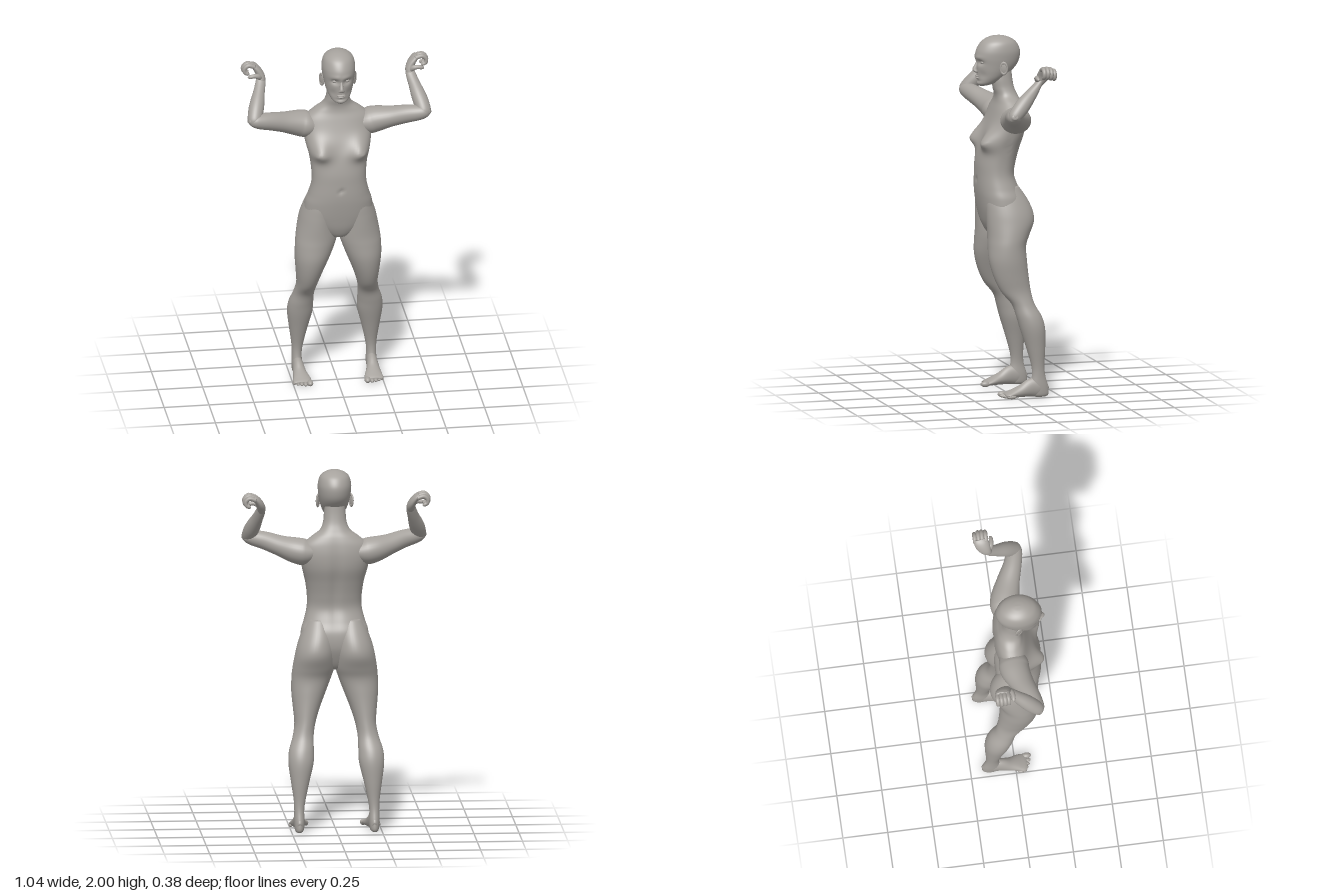
import * as THREE from 'three';

const skin = new THREE.MeshStandardMaterial({ color: 0xa6a29d });
skin.name = 'warm grey';

const bell = (d, s) => Math.exp(-(d * d) / (s * s));

// Uniform Catmull-Rom through rows of numbers
function sample(rows, f) {
  const n = rows.length - 1;
  const i = Math.min(Math.floor(f), n - 1), t = f - i;
  const [a, b, c, d] = [i - 1, i, i + 1, i + 2].map(k => rows[Math.max(0, Math.min(n, k))]);
  return b.map((_, k) => 0.5 * (2 * b[k] + (c[k] - a[k]) * t
    + (2 * a[k] - 5 * b[k] + 4 * c[k] - d[k]) * t * t
    + (3 * b[k] - a[k] - 3 * c[k] + d[k]) * t * t * t));
}

// Smooth skin over cross-sections [x, y, z, radiusU, radiusV]; U follows the ref axis
function loft(rows, { ref = [1, 0, 0], level = false, sides = 32, steps = 5, power = 1, rule = null } = {}) {
  const total = (rows.length - 1) * steps;
  const pos = [], idx = [];
  const at = f => new THREE.Vector3(...sample(rows, f));
  const bend = v => Math.sign(v) * Math.abs(v) ** power;
  for (let i = 0; i <= total; i++) {
    const f = i / steps, s = sample(rows, f);
    const t = at(Math.min(f + 0.05, rows.length - 1)).sub(at(Math.max(f - 0.05, 0)));
    if (level) t.set(0, Math.sign(t.y), 0);
    t.normalize();
    const u = new THREE.Vector3(...ref);
    u.addScaledVector(t, -u.dot(t)).normalize();
    const v = u.clone().cross(t);
    for (let j = 0; j < sides; j++) {
      const a = (j / sides) * Math.PI * 2;
      const p = new THREE.Vector3(s[0], s[1], s[2])
        .addScaledVector(u, Math.max(s[3], 0.001) * bend(Math.cos(a)))
        .addScaledVector(v, Math.max(s[4], 0.001) * bend(Math.sin(a)));
      if (rule) rule(p);
      pos.push(p.x, p.y, p.z);
      if (i < total) {
        const k = (j + 1) % sides, A = i * sides + j, B = i * sides + k;
        idx.push(A, A + sides, B, B, A + sides, B + sides);
      }
    }
  }
  // End caps
  const last = total * sides, c = pos.length / 3;
  const p0 = sample(rows, 0), p1 = sample(rows, rows.length - 1);
  pos.push(p0[0], p0[1], p0[2], p1[0], p1[1], p1[2]);
  for (let j = 0; j < sides; j++) {
    const k = (j + 1) % sides;
    idx.push(c, j, k, c + 1, last + k, last + j);
  }
  const g = new THREE.BufferGeometry();
  g.setAttribute('position', new THREE.Float32BufferAttribute(pos, 3));
  g.setIndex(idx);
  g.computeVertexNormals();
  return g;
}

// Level slices: [x0, x1, y, zBack, zFront] to a loft row
const slice = ([x0, x1, y, zb, zf]) => [(x0 + x1) / 2, y, (zb + zf) / 2, (x1 - x0) / 2, (zf - zb) / 2];
const centred = ([w, y, zb, zf]) => slice([-w, w, y, zb, zf]);

function blob(x, y, z, rx, ry, rz) {
  return new THREE.SphereGeometry(1, 24, 16).scale(rx, ry, rz).translate(x, y, z);
}

function mirrored(geometry) {
  const g = geometry.clone().scale(-1, 1, 1);
  const a = g.index.array;
  for (let i = 0; i < a.length; i += 3) [a[i], a[i + 1]] = [a[i + 1], a[i]];
  g.computeVertexNormals();
  return g;
}

export function createModel() {
  const model = new THREE.Group();
  model.name = 'standingFigure';
  const add = (name, g) => {
    const m = new THREE.Mesh(g, skin);
    m.name = name;
    model.add(m);
  };
  const pair = (name, g) => {
    add('left' + name, g);
    add('right' + name, mirrored(g));
  };

  // Torso and neck, with chest, spine groove and navel shaped by a rule
  add('torso', loft([
    [0.01, 0.885, 0.0, 0.05], [0.06, 0.9, -0.03, 0.1], [0.13, 0.95, -0.06, 0.13],
    [0.185, 1.02, -0.085, 0.148], [0.186, 1.1, -0.085, 0.162], [0.168, 1.16, -0.06, 0.168],
    [0.152, 1.23, -0.037, 0.168], [0.152, 1.3, -0.046, 0.165], [0.163, 1.38, -0.066, 0.15],
    [0.182, 1.46, -0.09, 0.125], [0.192, 1.53, -0.096, 0.098], [0.18, 1.59, -0.09, 0.077],
    [0.132, 1.635, -0.078, 0.062], [0.085, 1.67, -0.062, 0.06], [0.066, 1.71, -0.046, 0.07],
    [0.06, 1.76, -0.036, 0.075], [0.055, 1.82, -0.03, 0.06],
  ].map(centred), {
    level: true, sides: 72, steps: 7, power: 0.88,
    rule: p => {
      const ax = Math.abs(p.x);
      if (p.z > 0.02) {
        p.z += 0.052 * bell(ax - 0.115, 0.058) * bell(p.y - 1.415, p.y < 1.415 ? 0.042 : 0.068);
        p.z += 0.008 * bell(ax - 0.13, 0.012) * bell(p.y - 1.412, 0.012);
        p.z -= 0.01 * bell(p.x, 0.011) * bell(p.y - 1.2, 0.014);
      } else {
        p.z += 0.012 * bell(p.x, 0.028) * bell(p.y - 1.36, 0.2);
      }
    },
  }));

  // Legs from hip to heel
  pair('Leg', loft([
    [0.03, 0.15, 1.17, -0.045, 0.12], [0.006, 0.182, 1.1, -0.093, 0.14],
    [0.002, 0.207, 1.03, -0.123, 0.14], [0.002, 0.221, 0.97, -0.127, 0.138],
    [0.003, 0.233, 0.9, -0.098, 0.135], [0.02, 0.239, 0.84, -0.076, 0.136],
    [0.05, 0.24, 0.76, -0.078, 0.134], [0.085, 0.232, 0.67, -0.085, 0.111],
    [0.11, 0.226, 0.59, -0.095, 0.073], [0.122, 0.238, 0.52, -0.112, 0.016],
    [0.123, 0.26, 0.45, -0.15, -0.008], [0.126, 0.265, 0.38, -0.168, -0.028],
    [0.15, 0.252, 0.28, -0.168, -0.06], [0.172, 0.238, 0.18, -0.163, -0.088],
    [0.18, 0.235, 0.12, -0.167, -0.092], [0.178, 0.236, 0.06, -0.183, -0.08],
    [0.183, 0.232, 0.015, -0.186, -0.09], [0.195, 0.222, 0.001, -0.17, -0.11],
  ].map(slice), { level: true, sides: 40 }));

  // Feet and toes
  pair('Foot', loft([
    [0.207, 0.035, -0.18, 0.012, 0.02], [0.207, 0.052, -0.14, 0.028, 0.05],
    [0.206, 0.053, -0.09, 0.031, 0.052], [0.204, 0.036, -0.03, 0.038, 0.034],
    [0.2, 0.024, 0.02, 0.049, 0.022], [0.2, 0.018, 0.05, 0.051, 0.014], [0.2, 0.016, 0.064, 0.04, 0.008],
  ]));
  [[0.16, 0.092, 0.017], [0.185, 0.088, 0.012], [0.206, 0.081, 0.0115], [0.225, 0.071, 0.011], [0.243, 0.06, 0.011]]
    .forEach(([x, z, r], i) => pair('Toe' + (i + 1), blob(x, r * 0.95, z - 0.026, r, r * 0.95, 0.026)));

  // Arms
  pair('UpperArm', loft([
    [0.1, 1.55, -0.01, 0.04, 0.06], [0.165, 1.548, -0.006, 0.071, 0.082],
    [0.22, 1.558, 0.0, 0.071, 0.08], [0.3, 1.579, 0.027, 0.057, 0.065],
    [0.38, 1.602, 0.06, 0.05, 0.052], [0.44, 1.614, 0.079, 0.044, 0.046],
    [0.48, 1.622, 0.088, 0.034, 0.038], [0.508, 1.628, 0.095, 0.012, 0.015],
  ], { ref: [0, 1, 0] }));
  pair('Forearm', loft([
    [0.477, 1.598, 0.112, 0.01, 0.01], [0.474, 1.618, 0.094, 0.036, 0.034],
    [0.462, 1.66, 0.055, 0.042, 0.042], [0.448, 1.7, 0.018, 0.04, 0.04],
    [0.432, 1.745, -0.025, 0.032, 0.031], [0.419, 1.785, -0.06, 0.028, 0.022],
    [0.415, 1.81, -0.078, 0.024, 0.018],
  ]));

  // Half-closed hands
  pair('Palm', loft([
    [0.418, 1.782, -0.058, 0.018, 0.02], [0.414, 1.808, -0.076, 0.028, 0.024],
    [0.424, 1.838, -0.092, 0.038, 0.022], [0.443, 1.866, -0.102, 0.041, 0.018],
    [0.46, 1.882, -0.106, 0.034, 0.012],
  ], { ref: [0, 0, 1] }));
  [-0.135, -0.115, -0.095, -0.075].forEach((z, i) => {
    const k = [0.9, 1, 1, 0.95][i], y = [-0.01, -0.002, 0.002, 0][i];
    const finger = [[0, 0, 0.012], [0.038, 0.012, 0.0125], [0.062, -0.006, 0.0115], [0.06, -0.03, 0.011],
      [0.042, -0.04, 0.01], [0.033, -0.039, 0.004]];
    pair('Finger' + (i + 1), loft(finger.map(([a, b, r]) => [0.446 + a * k, 1.873 + y + b * k, z, r, r]),
      { ref: [0, 0, 1], sides: 14 }));
  });
  pair('Thumb', loft([
    [0.415, 1.805, -0.07, 0.014, 0.014], [0.432, 1.825, -0.053, 0.015, 0.015],
    [0.455, 1.832, -0.046, 0.012, 0.012], [0.478, 1.828, -0.046, 0.011, 0.011], [0.49, 1.824, -0.05, 0.004, 0.004],
  ], { ref: [0, 0, 1], sides: 14 }));

  // Head, with brow, eye sockets, cheeks and chin shaped by a rule
  add('head', loft([
    [0.012, 1.722, 0.11, 0.148], [0.042, 1.735, 0.065, 0.162], [0.063, 1.765, 0.015, 0.163],
    [0.076, 1.8, -0.03, 0.165], [0.085, 1.84, -0.065, 0.168], [0.091, 1.88, -0.08, 0.172],
    [0.092, 1.92, -0.08, 0.166], [0.082, 1.96, -0.06, 0.143], [0.06, 1.983, -0.03, 0.113],
    [0.03, 1.996, 0.005, 0.08], [0.003, 2.0, 0.03, 0.05],
  ].map(centred), {
    level: true, sides: 72, steps: 7,
    rule: p => {
      if (p.z < 0.07) return;
      const ax = Math.abs(p.x);
      p.z -= 0.016 * bell(ax - 0.034, 0.021) * bell(p.y - 1.857, 0.015);
      p.z += 0.004 * bell(ax - 0.03, 0.03) * bell(p.y - 1.885, 0.012);
      p.z -= 0.007 * bell(ax - 0.045, 0.02) * bell(p.y - 1.785, 0.025);
      p.z -= 0.006 * bell(p.x, 0.03) * bell(p.y - 1.752, 0.008);
    },
  }));
  add('nose', loft([
    [0, 1.868, 0.158, 0.006, 0.006], [0, 1.842, 0.166, 0.009, 0.011], [0, 1.818, 0.174, 0.013, 0.015],
    [0, 1.804, 0.171, 0.018, 0.013], [0, 1.796, 0.163, 0.008, 0.005],
  ], { level: true, sides: 24 }));
  add('upperLip', blob(0, 1.778, 0.161, 0.024, 0.0055, 0.011));
  add('lowerLip', blob(0, 1.768, 0.159, 0.021, 0.006, 0.012));
  pair('Eye', blob(0.034, 1.857, 0.14, 0.015, 0.01, 0.012));

  // Ears: a rim around a thin shell
  const place = g => g.rotateY(Math.PI / 2 - 0.45).translate(0.092, 1.828, 0.036);
  pair('EarRim', place(new THREE.TorusGeometry(0.019, 0.005, 10, 28).scale(1, 1.6, 1)));
  pair('EarShell', place(new THREE.SphereGeometry(1, 20, 12).scale(0.018, 0.03, 0.005)));

  return model;
}
